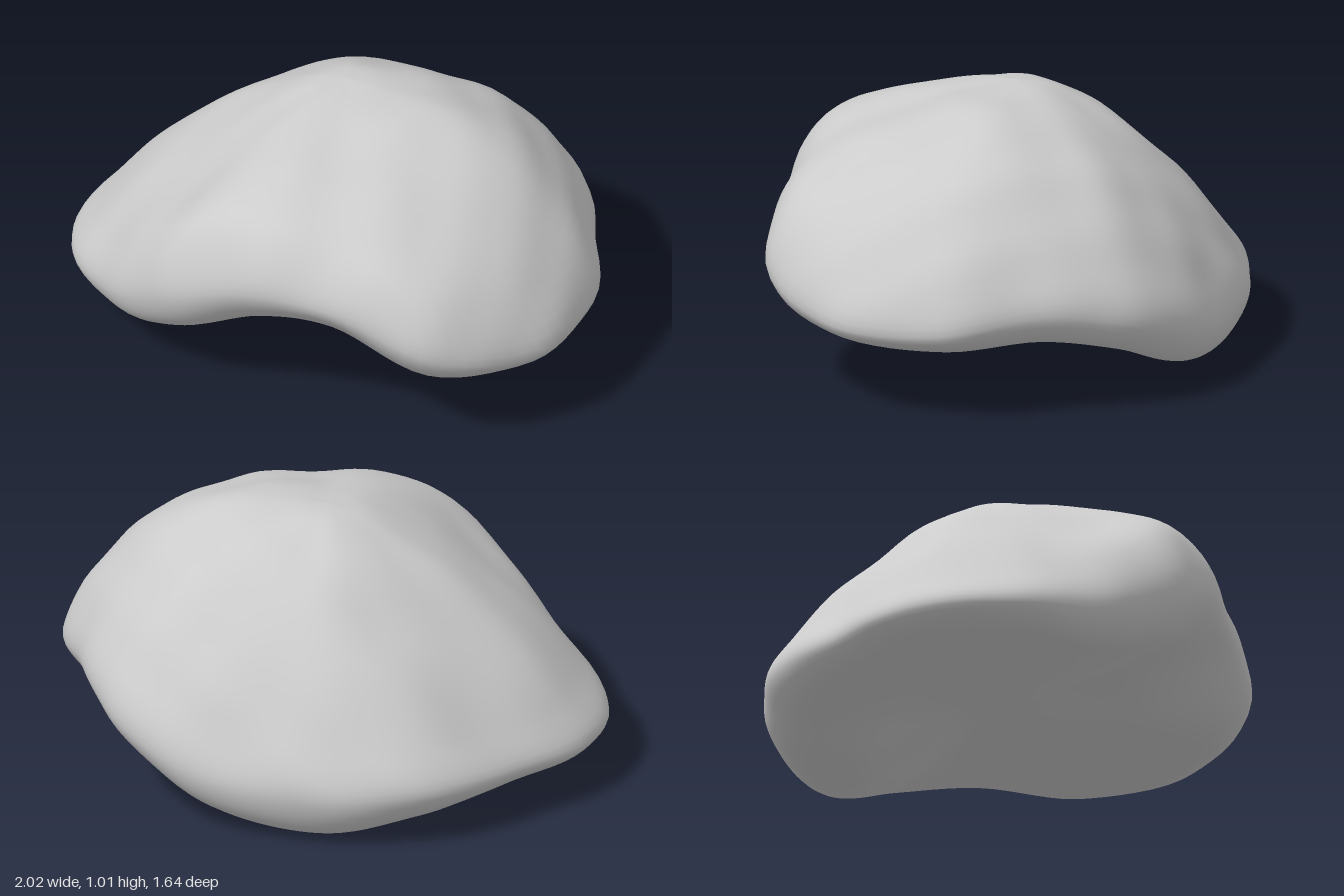
import * as THREE from 'three';
import { mergeVertices } from 'three/addons/utils/BufferGeometryUtils.js';

// Sixteen radial profiles, starting at +x and turning towards +z.
// Each: outline radius, then heights of crown, slope, shoulder, rim, lower lip, underside
const PROFILES = [
  [1.00, 0.995, 0.87, 0.61, 0.36, 0.27, 0.25],
  [1.05, 0.98, 0.84, 0.60, 0.35, 0.27, 0.25],
  [1.03, 0.96, 0.85, 0.68, 0.44, 0.32, 0.27],
  [0.86, 0.96, 0.88, 0.76, 0.57, 0.46, 0.33],
  [0.83, 0.965, 0.90, 0.79, 0.57, 0.43, 0.34],
  [0.88, 0.95, 0.84, 0.69, 0.45, 0.28, 0.25],
  [0.92, 0.90, 0.71, 0.50, 0.28, 0.15, 0.17],
  [1.01, 0.87, 0.64, 0.37, 0.21, 0.125, 0.14],
  [1.00, 0.87, 0.64, 0.36, 0.20, 0.13, 0.14],
  [0.89, 0.88, 0.63, 0.36, 0.20, 0.125, 0.13],
  [0.88, 0.88, 0.64, 0.38, 0.21, 0.10, 0.08],
  [0.84, 0.90, 0.68, 0.40, 0.20, 0.05, 0.01],
  [0.81, 0.91, 0.71, 0.42, 0.21, 0.05, 0.01],
  [0.84, 0.93, 0.75, 0.48, 0.25, 0.11, 0.09],
  [0.88, 0.955, 0.81, 0.57, 0.35, 0.23, 0.20],
  [0.89, 0.98, 0.86, 0.63, 0.41, 0.29, 0.25],
];
const TOP = 1.01, BOTTOM = 0.22;
const ROWS = 64, COLS = 112;

// One meridian, from the summit over the rim to the middle of the underside
function meridian([r, crown, slope, shoulder, rim, lip, under], k) {
  const angle = (k / PROFILES.length) * Math.PI * 2;
  const at = (s, y) => new THREE.Vector3(Math.cos(angle) * r * s, y, Math.sin(angle) * r * s);
  const mix = THREE.MathUtils.lerp;
  return new THREE.CatmullRomCurve3([
    at(0, TOP), at(0.15, mix(TOP, crown, 0.2)), at(0.35, crown), at(0.65, slope),
    at(0.9, shoulder), at(1, rim), at(0.9, lip), at(0.65, under),
    at(0.35, mix(BOTTOM, under, 0.5)), at(0.15, mix(BOTTOM, under, 0.12)), at(0, BOTTOM),
  ]).getPoints(ROWS);
}

// Gentle, uneven weathering
function weather(p) {
  const n = Math.sin(p.x * 9 + p.z * 4) * Math.sin(p.z * 10 - p.x * 3 + 1) * Math.cos(p.y * 8)
    + 0.6 * Math.sin(p.x * 15 - p.y * 7 + 2) * Math.sin(p.z * 14 + p.y * 9);
  return p.multiplyScalar(1 + 0.008 * n);
}

// Closed rings through the meridians, joined from summit to underside
function rockGeometry() {
  const meridians = PROFILES.map(meridian);
  const positions = [], index = [];
  for (let i = 0; i <= ROWS; i++) {
    const pole = i === 0 || i === ROWS;
    const ring = new THREE.CatmullRomCurve3(meridians.map((m) => m[i]), true, 'catmullrom', 0.5);
    for (let j = 0; j < COLS; j++) {
      const p = pole ? new THREE.Vector3(0, i ? BOTTOM : TOP, 0) : ring.getPoint(j / COLS);
      positions.push(...weather(p).toArray());
      if (i === ROWS) continue;
      const a = i * COLS + j, b = i * COLS + ((j + 1) % COLS);
      if (i > 0) index.push(a, b, a + COLS);
      if (i < ROWS - 1) index.push(b, b + COLS, a + COLS);
    }
  }
  let geometry = new THREE.BufferGeometry();
  geometry.setAttribute('position', new THREE.Float32BufferAttribute(positions, 3));
  geometry.setIndex(index);
  geometry = mergeVertices(geometry, 1e-5);

  // Centre and stand on the ground
  geometry.computeBoundingBox();
  const mid = geometry.boundingBox.getCenter(new THREE.Vector3());
  geometry.translate(-mid.x, -geometry.boundingBox.min.y, -mid.z);
  geometry.computeVertexNormals();
  return geometry;
}

export function createModel() {
  const group = new THREE.Group();
  group.name = 'boulder';
  const rock = new THREE.Mesh(rockGeometry(), new THREE.MeshStandardMaterial({ color: 0xcccccc }));
  rock.name = 'rock';
  group.add(rock);
  return group;
}
